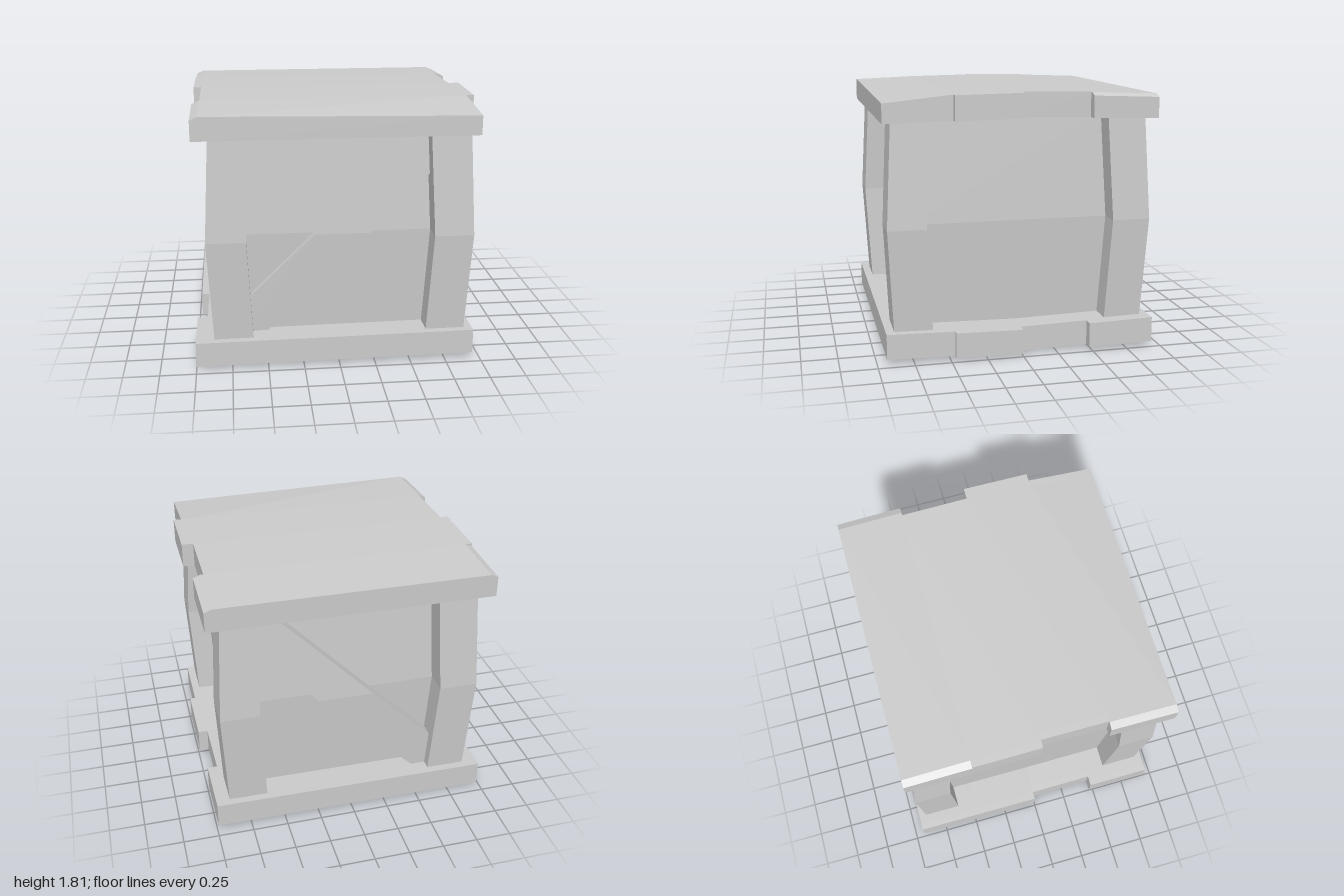
import * as THREE from 'three';

const material = new THREE.MeshStandardMaterial({ color: 0xcccccc, flatShading: true, side: THREE.DoubleSide });
const MID = 0.915;
const bulge = (y) => 0.04 * Math.max(0, 1 - Math.abs(y - MID) / 0.72);

// Move every vertex of a geometry by a rule
function warp(geometry, rule) {
  const p = geometry.attributes.position;
  const v = new THREE.Vector3();
  for (let i = 0; i < p.count; i++) {
    v.fromBufferAttribute(p, i);
    rule(v);
    p.setXYZ(i, v.x, v.y, v.z);
  }
  geometry.computeVertexNormals();
  return geometry;
}

function add(group, name, geometry) {
  const mesh = new THREE.Mesh(geometry, material);
  mesh.name = name;
  group.add(mesh);
  return mesh;
}

// Plank from x0..x1 and z0..z1; heightAt(x, z, isTop) bends it, chamfers lower its upper ends
function plank({ x: [x0, x1], z: [z0, z1], chamfer = [0, 0] }, heightAt) {
  const stops = [x0, x0 + 0.05, x1 - 0.05, x1];
  return warp(new THREE.BoxGeometry(3, 1, 1, 3, 1, 1), (v) => {
    const i = Math.round(v.x + 1.5);
    const isTop = v.y > 0;
    v.x = stops[i];
    v.z = v.z > 0 ? z1 : z0;
    v.y = heightAt(v.x, v.z, isTop);
    if (isTop && i === 0) v.y -= chamfer[0];
    if (isTop && i === 3) v.y -= chamfer[1];
  });
}

export function createModel() {
  const crate = new THREE.Group();
  crate.name = 'crate';

  // Lid: four staggered planks, gently crowned, with a worn front corner
  const lid = new THREE.Group();
  lid.name = 'lid';
  const lidHeight = (x, z, isTop) => {
    const t = Math.abs(z) / 0.935;
    if (!isTop) return 1.645 - 0.022 * t;
    const worn = z > 0.6 ? 0.03 * (x + 0.93) / 1.87 : 0;
    return 1.812 - 0.008 * Math.min(1, t * 2) - 0.018 * Math.max(0, t * 2 - 1) - worn;
  };
  [
    { x: [-0.98, 0.99], z: [-0.935, -0.475], chamfer: [0.02, 0.02] },
    { x: [-0.98, 0.92], z: [-0.475, 0] },
    { x: [-0.925, 1.0], z: [0, 0.468] },
    { x: [-0.98, 0.945], z: [0.468, 0.935], chamfer: [0.025, 0] },
  ].forEach((p, i) => add(lid, `lidPlank${i + 1}`, plank(p, lidHeight)));
  crate.add(lid);

  // Base: four staggered planks, sagging towards the middle
  const base = new THREE.Group();
  base.name = 'base';
  const baseHeight = (x, z, isTop) => {
    const t = Math.abs(z) / 0.935;
    return (isTop ? 0.183 : 0.008) + 0.022 * t + 0.008 * x;
  };
  [
    { x: [-0.98, 0.99], z: [-0.935, -0.475] },
    { x: [-0.98, 0.92], z: [-0.475, 0] },
    { x: [-0.925, 0.99], z: [0, 0.468] },
    { x: [-1.0, 0.95], z: [0.468, 0.935] },
  ].forEach((p, i) => add(base, `basePlank${i + 1}`, plank(p, baseHeight)));
  crate.add(base);

  // Recessed panels: one bulging core
  add(crate, 'panels', warp(new THREE.BoxGeometry(1.44, 1.57, 1.41, 1, 2, 1), (v) => {
    v.y += MID;
    v.x += Math.sign(v.x) * bulge(v.y) + 0.01;
    v.z += Math.sign(v.z) * bulge(v.y);
  }));

  // Corner posts, kinked outwards at mid height
  for (const sx of [-1, 1]) {
    for (const sz of [-1, 1]) {
      add(crate, 'cornerPost', warp(new THREE.BoxGeometry(0.273, 1.52, 0.265, 1, 2, 1), (v) => {
        v.y += MID;
        v.x += sx * (0.743 + bulge(v.y)) + 0.01;
        v.z += sz * (0.742 + bulge(v.y));
      }));
    }
  }

  // Diagonal braces, each in two halves that follow the bulge
  const halves = [
    [[-0.64, 0.17], [-0.52, 0.17], [0.225, MID], [-0.165, MID], [-0.64, 0.44]],
    [[-0.165, MID], [0.225, MID], [0.66, 1.35], [0.66, 1.635], [0.555, 1.635]],
  ];
  const brace = (name, zInner, zOuter) => {
    const group = new THREE.Group();
    group.name = name;
    for (const points of halves) {
      const shape = new THREE.Shape(points.map(([x, y]) => new THREE.Vector2(x, y)));
      const depth = zOuter - zInner;
      const geometry = new THREE.ExtrudeGeometry(shape, { depth, bevelEnabled: false });
      const side = Math.sign(zInner + zOuter);
      add(group, 'braceHalf', warp(geometry, (v) => { v.z += zInner + side * bulge(v.y); }));
    }
    crate.add(group);
  };
  brace('frontBrace', 0.66, 0.755);
  brace('backBrace', -0.805, -0.66);

  return crate;
}
